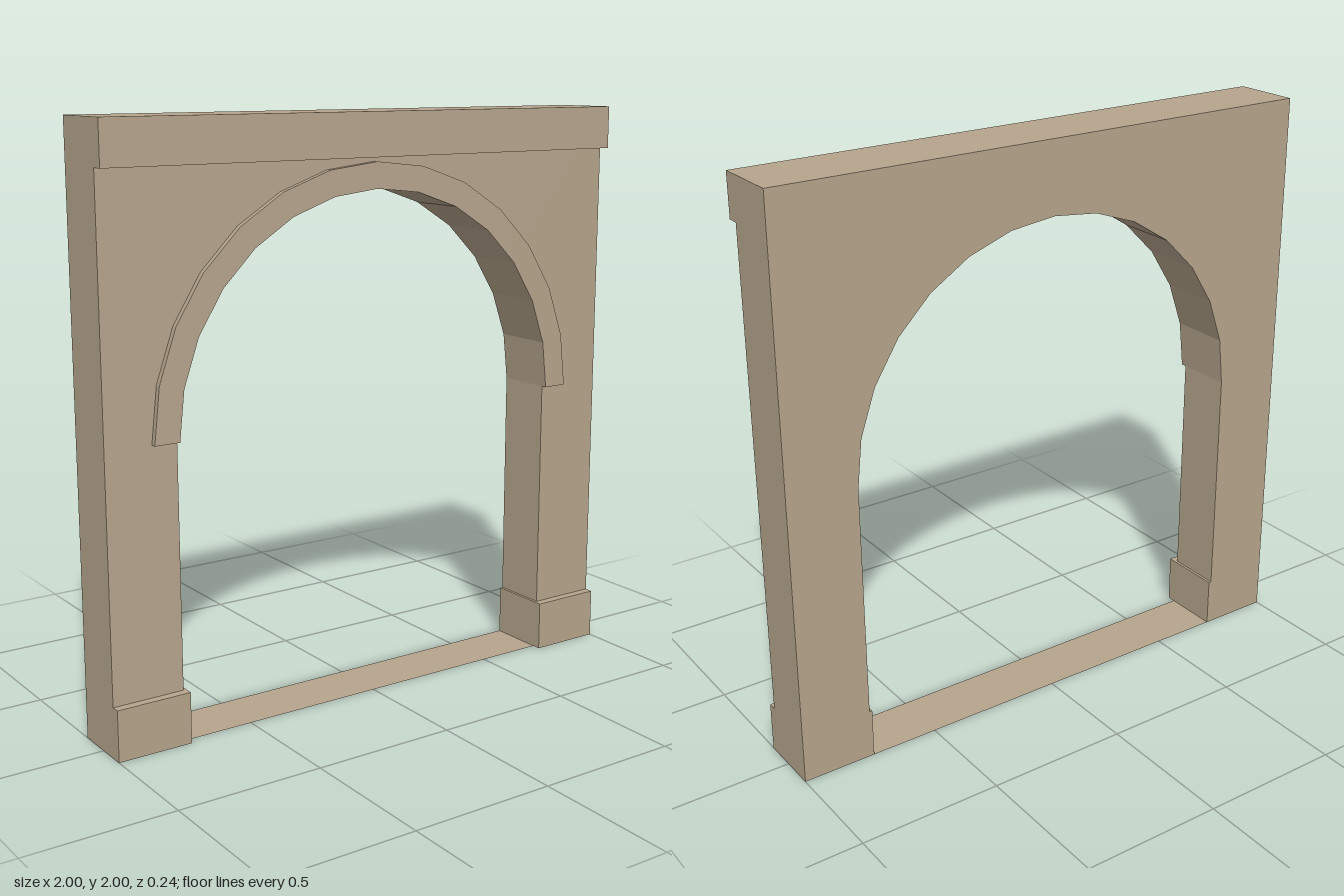
import * as THREE from 'three';

const BACK = -0.12, WALL = 0.08;
const SPRING = 1.0, RADIUS = 0.75, SEGMENTS = 14;

export function createModel() {
  const group = new THREE.Group();
  group.name = 'archway';
  const stone = new THREE.MeshStandardMaterial({ color: 0xb5a48c });
  stone.name = 'sandstone';
  const stoneSheet = new THREE.MeshStandardMaterial({ color: 0xb5a48c, side: THREE.DoubleSide });
  stoneSheet.name = 'sandstone sheet';

  const add = (name, geometry, material = stone) => {
    const mesh = new THREE.Mesh(geometry, material);
    mesh.name = name;
    group.add(mesh);
    return mesh;
  };
  const box = (name, x0, x1, y0, y1, z0, z1) =>
    add(name, new THREE.BoxGeometry(x1 - x0, y1 - y0, z1 - z0))
      .position.set((x0 + x1) / 2, (y0 + y1) / 2, (z0 + z1) / 2);
  const slab = (name, points, z0, z1) =>
    add(name, new THREE.ExtrudeGeometry(new THREE.Shape(points), { depth: z1 - z0, bevelEnabled: false }))
      .position.z = z0;

  // Faceted half circle running from the right (-x) to the left (+x) springing
  const arc = (r) => Array.from({ length: SEGMENTS + 1 }, (_, i) => {
    const a = Math.PI * (1 - i / SEGMENTS);
    return new THREE.Vector2(r * Math.cos(a), SPRING + r * Math.sin(a));
  });
  const p = (x, y) => new THREE.Vector2(x, y);

  // Wall with the arched opening
  slab('wall', [
    p(-1, 0), p(-RADIUS, 0), ...arc(RADIUS), p(RADIUS, 0), p(1, 0), p(1, 2), p(-1, 2),
  ], BACK, WALL);

  // Raised band around the arch
  slab('archBand', [...arc(RADIUS), ...arc(0.838).reverse()], WALL, 0.1);

  // Cornice along the top of the front
  box('cornice', -1, 1, 1.853, 2, WALL, 0.12);

  // Plinths wrapping the front and inner side of each pier
  box('plinthRight', -1, -0.74, 0, 0.175, BACK, 0.11);
  box('plinthLeft', 0.74, 1, 0, 0.175, BACK, 0.11);

  // Flat threshold between the piers
  const sill = add('threshold', new THREE.PlaneGeometry(1.48, WALL - BACK), stoneSheet);
  sill.rotation.x = -Math.PI / 2;
  sill.position.z = (WALL + BACK) / 2;

  return group;
}
